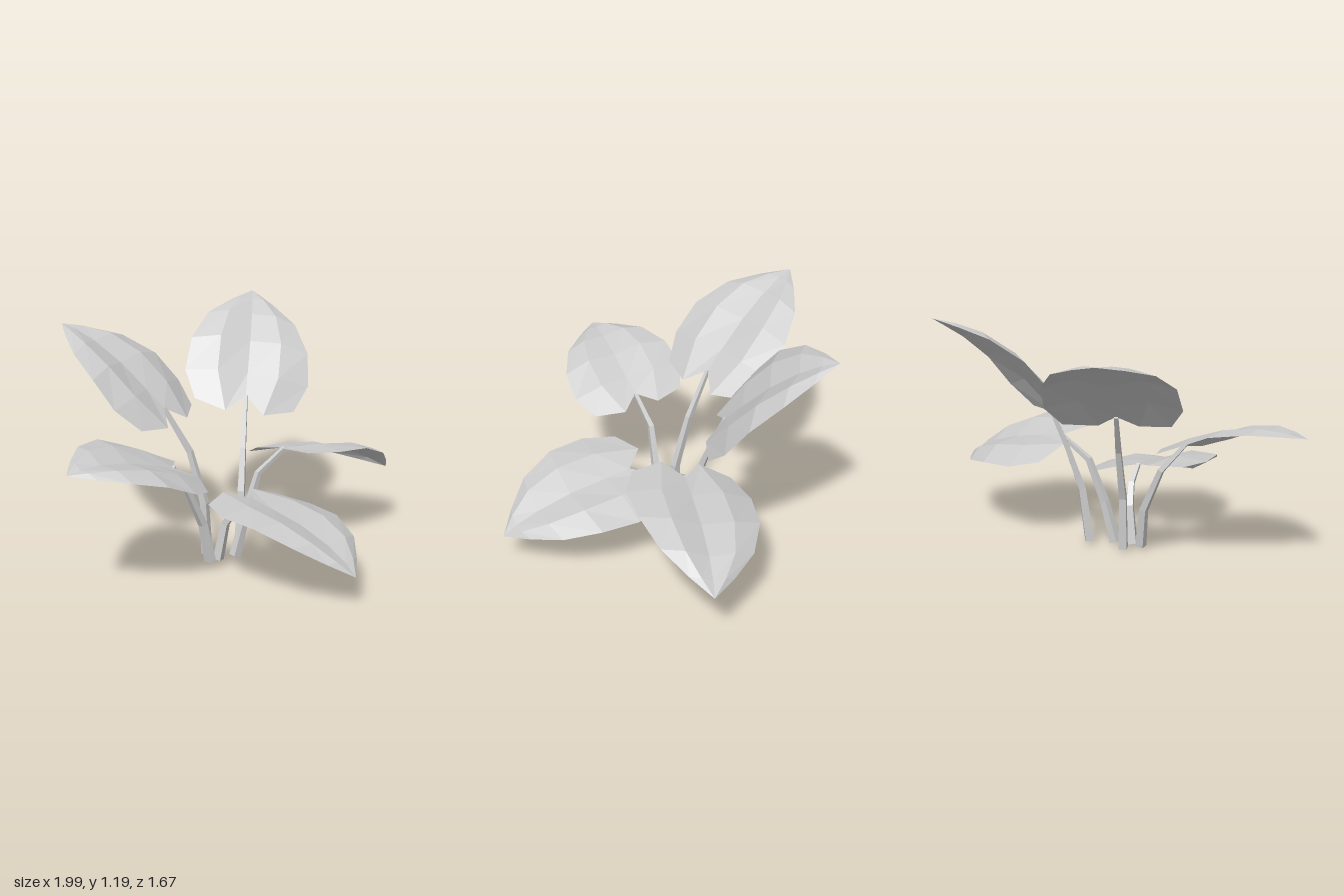
import * as THREE from 'three';

const V = (p) => new THREE.Vector3(...p);
const material = new THREE.MeshStandardMaterial({ color: 0xcccccc, flatShading: true, side: THREE.DoubleSide });

// Half-leaf rows from notch to tip: [across, along, height] for midrib, quarter and edge
const LEAF_LENGTH = 0.7;
const LEAF_ROWS = [
  [[0, 0, 0], [0.1, -0.1, -0.015], [0.26, -0.04, -0.03]],
  [[0, 0.13, 0.02], [0.16, 0.11, 0.04], [0.325, 0.11, 0.0]],
  [[0, 0.32, 0.045], [0.16, 0.31, 0.075], [0.31, 0.29, 0.045]],
  [[0, 0.5, 0.045], [0.125, 0.49, 0.07], [0.235, 0.47, 0.045]],
  [[0, 0.62, 0.028], [0.06, 0.615, 0.036], [0.115, 0.6, 0.022]],
  [[0, 0.7, 0], [0, 0.7, 0], [0, 0.7, 0]],
];

// Each plant stalk: stem path (last point is the leaf notch), leaf tip, sideways direction of the blade
const STALKS = [
  { name: 'front', stem: [[-0.09, 0.01, -0.01], [-0.06, 0.2, 0.01], [-0.03, 0.3, 0.07], [-0.01, 0.37, 0.16]],
    tip: [0.08, 0.16, 0.83], side: [0.66, -0.13, -0.08] },
  { name: 'left', stem: [[0.015, 0, -0.01], [0.08, 0.2, -0.01], [0.17, 0.41, -0.02], [0.34, 0.51, -0.02]],
    tip: [0.99, 0.29, 0.05], side: [-0.02, 0.25, 0.97] },
  { name: 'right', stem: [[-0.14, 0.01, -0.01], [-0.17, 0.21, -0.03], [-0.27, 0.43, -0.03], [-0.38, 0.57, 0.02]],
    tip: [-1, 0.68, 0.08], side: [0, -0.15, 0.98] },
  { name: 'backRight', stem: [[-0.095, 0.015, -0.1], [-0.1, 0.28, -0.11], [-0.13, 0.54, -0.19], [-0.2, 0.75, -0.31]],
    tip: [-0.46, 1.12, -0.84], side: [0.88, 0, -0.47] },
  { name: 'backLeft', stem: [[0.11, 0.015, -0.1], [0.14, 0.29, -0.12], [0.19, 0.5, -0.17], [0.26, 0.75, -0.24]],
    tip: [0.62, 1.18, -0.65], side: [0.79, -0.2, 0.585] },
];

// Joins rows of points into a faceted surface
function loft(rows, closed) {
  const pos = [];
  const tri = (...pts) => pts.forEach((p) => pos.push(p.x, p.y, p.z));
  for (let r = 0; r < rows.length - 1; r++) {
    const n = rows[r].length;
    for (let c = 0; c < (closed ? n : n - 1); c++) {
      const d = (c + 1) % n;
      const [a, b, e, f] = [rows[r][c], rows[r][d], rows[r + 1][d], rows[r + 1][c]];
      tri(a, b, e);
      if (e.distanceTo(f) > 1e-6) tri(a, e, f);
    }
  }
  const geometry = new THREE.BufferGeometry();
  geometry.setAttribute('position', new THREE.Float32BufferAttribute(pos, 3));
  geometry.computeVertexNormals();
  return geometry;
}

// Heart-shaped blade, arched along its length and creased at the midrib
function leafGeometry(notch, tip, sideDir) {
  const along = tip.clone().sub(notch);
  const scale = along.length() / LEAF_LENGTH;
  along.normalize();
  const side = sideDir.clone().addScaledVector(along, -sideDir.dot(along)).normalize();
  const up = new THREE.Vector3().crossVectors(side, along).normalize();
  if (up.y < 0) {
    up.negate();
    side.negate();
  }
  const place = ([u, v, h], sign) => notch.clone()
    .addScaledVector(side, u * sign * scale)
    .addScaledVector(along, v * scale)
    .addScaledVector(up, h * scale);
  const rows = LEAF_ROWS.map(([mid, quarter, edge]) =>
    [place(edge, -1), place(quarter, -1), place(mid, 1), place(quarter, 1), place(edge, 1)]);
  return loft(rows, false);
}

// Square stem that tapers towards the leaf, capped at both ends
function stemGeometry(path) {
  const last = path.length - 1;
  const ring = (i, size) => {
    const dir = path[Math.min(i + 1, last)].clone().sub(path[Math.max(i - 1, 0)]).normalize();
    const out = path[last].clone().sub(path[0]).setY(0).normalize();
    const across = new THREE.Vector3(out.z, 0, -out.x);
    across.addScaledVector(dir, -across.dot(dir)).normalize();
    const depth = new THREE.Vector3().crossVectors(dir, across);
    return [[1, 1], [-1, 1], [-1, -1], [1, -1]].map(([a, b]) =>
      path[i].clone().addScaledVector(across, a * size).addScaledVector(depth, b * size));
  };
  const rings = path.map((p, i) => ring(i, 0.021 - 0.012 * (i / last)));
  return loft([ring(0, 0), ...rings, ring(last, 0)], true);
}

export function createModel() {
  const plant = new THREE.Group();
  plant.name = 'leafyPlant';
  for (const { name, stem, tip, side } of STALKS) {
    const path = stem.map(V);
    const stalk = new THREE.Group();
    stalk.name = `${name}Stalk`;
    const stemMesh = new THREE.Mesh(stemGeometry(path), material);
    stemMesh.name = `${name}Stem`;
    const leafMesh = new THREE.Mesh(leafGeometry(path[path.length - 1], V(tip), V(side)), material);
    leafMesh.name = `${name}Leaf`;
    stalk.add(stemMesh, leafMesh);
    plant.add(stalk);
  }
  return plant;
}
